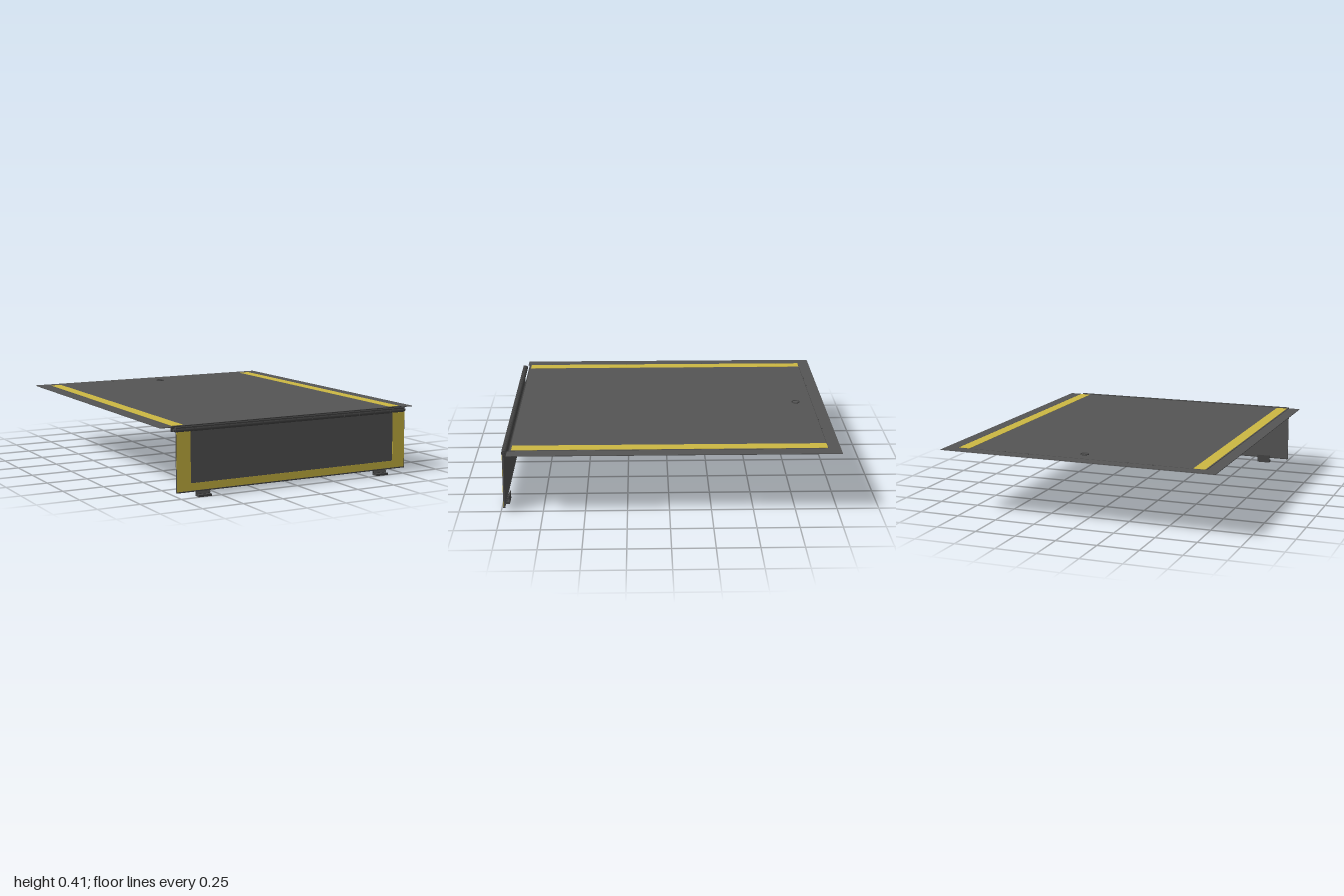
import * as THREE from 'three';

export function createModel() {
  const root = new THREE.Group();
  const mat = (name, color) => Object.assign(new THREE.MeshStandardMaterial({ color }), { name });
  const steel = mat('dark grey steel', 0x555555);
  const yellow = mat('safety yellow', 0xcdb843);
  const dark = mat('hinge grey', 0x444444);

  const add = (name, geo, material, x, y, z, parent = root) => {
    const m = new THREE.Mesh(geo, material);
    m.name = name;
    m.position.set(x, y, z);
    parent.add(m);
    return m;
  };
  // Box given by its limits on each axis
  const box = (name, material, [x0, x1], [y0, y1], [z0, z1], parent = root) =>
    add(name, new THREE.BoxGeometry(x1 - x0, y1 - y0, z1 - z0), material,
      (x0 + x1) / 2, (y0 + y1) / 2, (z0 + z1) / 2, parent);
  // Rod along x
  const rod = (name, material, r, length, x, y, z) => {
    const g = new THREE.CylinderGeometry(r, r, length, 16);
    g.rotateZ(Math.PI / 2);
    return add(name, g, material, x, y, z);
  };

  // Surrounding floor frame and the deck plate inside it
  box('rearFrame', steel, [-0.85, 0.85], [0.395, 0.399], [-1, -0.928]);
  for (const s of [-1, 1]) {
    const side = [0.778 * s, 0.85 * s].sort((a, b) => a - b);
    box('sideFrame', steel, side, [0.395, 0.399], [-0.928, 0.945]);
  }
  box('deck', steel, [-0.775, 0.775], [0.393, 0.4], [-0.925, 0.93]);
  box('deckLip', dark, [-0.78, 0.78], [0.368, 0.4], [0.929, 0.936]);

  // Deck edge stripes
  for (const s of [-1, 1]) {
    const span = [0.698 * s, 0.768 * s].sort((a, b) => a - b);
    box('deckStripe', yellow, span, [0.4, 0.4015], [-0.925, 0.922]);
  }

  // Rear pivot rod under the deck, with its small screws
  rod('rearPivot', dark, 0.006, 1.55, 0, 0.39, -0.925);
  for (const x of [-0.46, -0.31, 0.31, 0.46])
    add('screw', new THREE.CylinderGeometry(0.004, 0.004, 0.003, 10), dark, x, 0.4005, -0.93);

  // Round lift handle and the latch hanging below it
  const ring = new THREE.TorusGeometry(0.022, 0.005, 8, 28);
  ring.rotateX(Math.PI / 2);
  add('liftRing', ring, dark, 0, 0.401, -0.823);
  add('liftCup', new THREE.CylinderGeometry(0.019, 0.019, 0.003, 24), steel, 0, 0.4005, -0.823);
  const latch = box('latch', dark, [-0.008, 0.008], [0.365, 0.395], [-0.864, -0.859]);
  latch.rotation.x = 0.15;
  box('latchArm', dark, [-0.008, 0.008], [0.385, 0.394], [-0.862, -0.82]);

  // Front hinge: knuckles along a pin
  const count = 14, pitch = 1.54 / count;
  for (let i = 0; i < count; i++)
    rod('hingeKnuckle', dark, 0.016, pitch - 0.004, -0.77 + (i + 0.5) * pitch, 0.382, 0.965);
  rod('hingePin', dark, 0.008, 1.56, 0, 0.382, 0.965);
  box('hingeLeaf', dark, [-0.77, 0.77], [0.374, 0.399], [0.963, 0.978]);

  // Front lip, hanging at a slight slope
  const lip = new THREE.Group();
  lip.name = 'frontLip';
  lip.position.set(0, 0.38, 0.972);
  lip.rotation.x = -0.02;
  root.add(lip);
  box('lipPlate', steel, [-0.77, 0.77], [-0.345, 0], [-0.004, 0.004], lip);
  for (const s of [-1, 1]) {
    const span = [0.682 * s, 0.768 * s].sort((a, b) => a - b);
    box('lipSideStripe', yellow, span, [-0.342, -0.008], [0.004, 0.0055], lip);
  }
  box('lipBottomStripe', yellow, [-0.682, 0.682], [-0.342, -0.3], [0.004, 0.0055], lip);
  box('lipBottomEdge', dark, [-0.77, 0.77], [-0.349, -0.343], [-0.006, 0.006], lip);

  // Hooked feet below the lip
  for (const x of [-0.6, 0.6]) {
    const span = [x - 0.042, x + 0.042];
    box('footPad', dark, span, [0, 0.012], [0.958, 1]);
    box('footWeb', dark, span, [0.01, 0.05], [0.958, 0.964]);
    const brace = box('footBrace', dark, span, [0.012, 0.04], [0.968, 0.974]);
    brace.rotation.x = -0.5;
  }
  return root;
}
